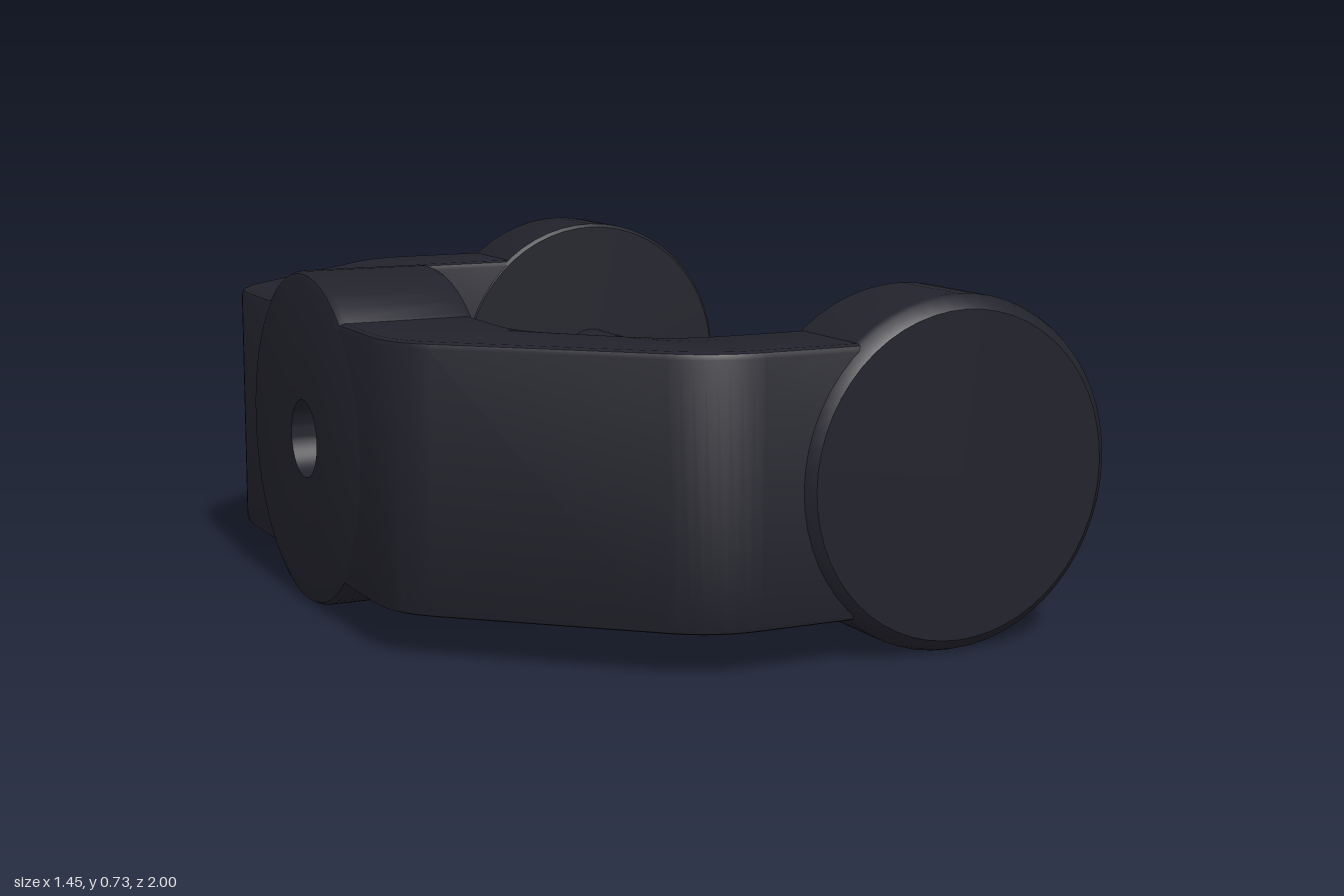
import * as THREE from 'three';
import { toCreasedNormals } from 'three/addons/utils/BufferGeometryUtils.js';

const MID = 0.366; // height of the centre line

// Lathe around y from [radius, y] pairs, with crisp edges
function turned(points, segments = 56) {
  const geo = new THREE.LatheGeometry(points.map(([r, y]) => new THREE.Vector2(r, y)), segments);
  return toCreasedNormals(geo, 0.5);
}

// Closed shape whose corners [x, z, cut] are rounded by the given cut length
function roundedShape(corners) {
  const shape = new THREE.Shape();
  const n = corners.length;
  const pts = corners.map(([x, z]) => new THREE.Vector2(x, -z));
  corners.forEach(([, , cut], i) => {
    const p = pts[i];
    const toward = (q) => p.clone().add(q.clone().sub(p).setLength(cut));
    const a = toward(pts[(i + n - 1) % n]);
    const b = toward(pts[(i + 1) % n]);
    if (i === 0) shape.moveTo(a.x, a.y);
    else shape.lineTo(a.x, a.y);
    if (cut > 0) shape.quadraticCurveTo(p.x, p.y, b.x, b.y);
  });
  shape.closePath();
  return shape;
}

export function createModel() {
  const material = new THREE.MeshStandardMaterial({ color: 0x22222c });
  material.name = 'dark plastic';

  const model = new THREE.Group();
  model.name = 'yokeBracket';
  const body = new THREE.Group();
  body.name = 'bracketBody';
  body.rotation.y = 0.026;
  body.position.z = 0.008;
  model.add(body);

  const add = (name, geometry) => {
    const mesh = new THREE.Mesh(geometry, material);
    mesh.name = name;
    body.add(mesh);
    return mesh;
  };

  // Bent arms: from the hub, round two bends, into the end discs
  const arms = {
    frontArm: [
      [-0.715, 0.22, 0], [-0.715, 0.53, 0.09], [-0.21, 0.973, 0.1], [0.33, 0.973, 0],
      [0.33, 0.743, 0], [-0.185, 0.743, 0.1], [-0.413, 0.5, 0.08], [-0.413, 0.22, 0],
    ],
    backArm: [
      [-0.715, -0.18, 0], [-0.715, -0.475, 0.09], [-0.195, -0.973, 0.1], [0.33, -0.973, 0],
      [0.33, -0.743, 0], [-0.195, -0.743, 0.1], [-0.413, -0.51, 0.08], [-0.413, -0.18, 0],
    ],
  };
  const bevel = 0.014;
  for (const [name, corners] of Object.entries(arms)) {
    const geo = new THREE.ExtrudeGeometry(roundedShape(corners), {
      depth: 0.555 - 2 * bevel, curveSegments: 8,
      bevelSize: bevel, bevelThickness: bevel, bevelOffset: -bevel, bevelSegments: 2,
    });
    geo.rotateX(-Math.PI / 2);
    add(name, toCreasedNormals(geo, 0.6)).position.y = 0.09 + bevel;
  }

  // Round hub with a blind hole in its outer face
  const hub = add('hub', turned([
    [0, -0.153], [0.347, -0.153], [0.359, -0.148], [0.365, -0.135],
    [0.365, 0.135], [0.359, 0.148], [0.347, 0.153],
    [0.085, 0.153], [0.085, 0], [0, 0],
  ]));
  hub.rotation.z = Math.PI / 2;
  hub.position.set(-0.564, MID, 0.02);

  // End discs with inward pins, outer rim chamfered
  for (const side of [1, -1]) {
    const label = side > 0 ? 'front' : 'back';
    const disc = add(label + 'Disc', turned([
      [0, -0.125], [0.357, -0.125], [0.365, -0.117], [0.365, 0.09],
      [0.36, 0.104], [0.337, 0.125], [0, 0.125],
    ]));
    disc.rotation.x = side * Math.PI / 2;
    disc.position.set(0.336, MID, side * 0.865);

    const pin = add(label + 'Pin', new THREE.CylinderGeometry(0.087, 0.087, 0.17, 32));
    pin.rotation.x = Math.PI / 2;
    pin.position.set(0.336, MID, side * 0.678);
  }
  return model;
}
